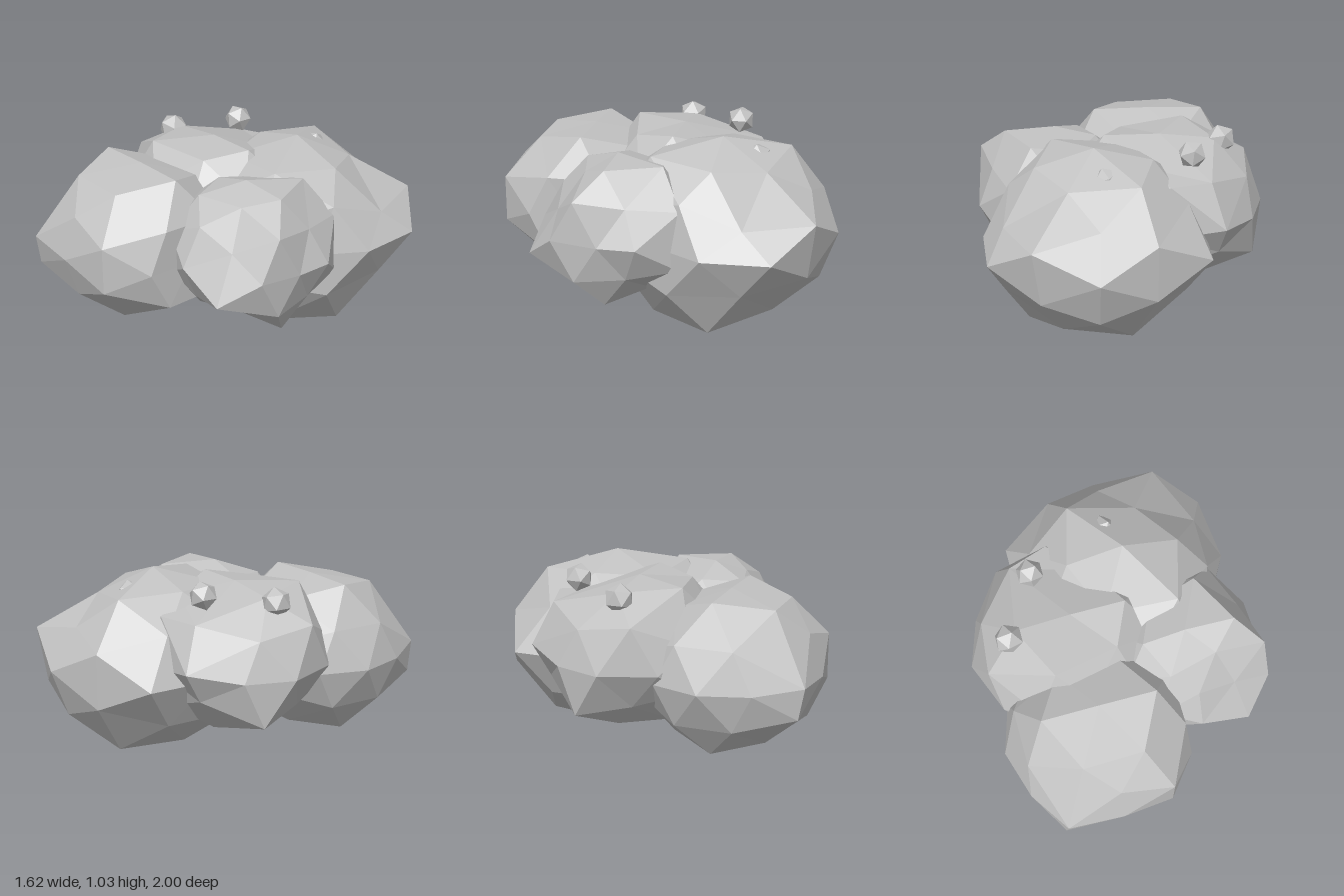
import * as THREE from 'three';

// Faceted boulder: a stretched icosphere whose corners are nudged.
// Each nudge is [direction of the corner, offset].
function boulder(name, material, center, radii, nudges) {
  const geometry = new THREE.IcosahedronGeometry(1, 1);
  const pos = geometry.attributes.position;
  const rules = nudges.map(([dir, offset]) => [
    new THREE.Vector3(...dir).normalize(), new THREE.Vector3(...offset)]);
  const scale = new THREE.Vector3(...radii);
  const dir = new THREE.Vector3();
  const v = new THREE.Vector3();
  for (let i = 0; i < pos.count; i++) {
    dir.fromBufferAttribute(pos, i);
    v.copy(dir).multiply(scale);
    for (const [target, offset] of rules) {
      if (dir.distanceTo(target) < 0.2) v.add(offset);
    }
    pos.setXYZ(i, v.x, v.y, v.z);
  }
  geometry.computeVertexNormals();
  const mesh = new THREE.Mesh(geometry, material);
  mesh.name = name;
  mesh.position.set(...center);
  return mesh;
}

export function createModel() {
  const group = new THREE.Group();
  group.name = 'rockCluster';
  const stone = new THREE.MeshStandardMaterial({ color: 0xc2c2c2, flatShading: true });
  stone.name = 'grey stone';

  // Four large overlapping boulders
  group.add(
    boulder('frontBoulder', stone, [-0.2, 0.5, 0.48], [0.55, 0.44, 0.52], [
      [[-0.5, 0.31, 0.81], [-0.04, -0.11, 0.09]],
      [[-0.5, -0.31, 0.81], [-0.05, -0.01, 0.06]],
      [[0.5, 0.31, 0.81], [0.02, 0.02, 0.05]],
      [[0.5, -0.31, 0.81], [0.02, 0.03, 0.05]],
      [[-0.53, 0.85, 0], [-0.03, 0.06, 0]],
      [[0.53, 0.85, 0], [0.03, 0.06, 0]],
      [[-0.31, 0.81, 0.5], [0, 0.03, 0.04]],
      [[0.31, 0.81, 0.5], [0, 0.02, 0.03]],
      [[-0.53, -0.85, 0], [-0.03, -0.03, 0]],
      [[0.53, -0.85, 0], [0, 0.08, 0]],
      [[0.81, -0.5, 0.31], [0.02, 0, 0]],
      [[1, 0, 0], [-0.1, 0, 0]],
      [[0.85, 0, 0.53], [-0.01, 0, 0]],
    ]),
    boulder('leftSideBoulder', stone, [0.36, 0.545, 0.19], [0.445, 0.395, 0.43], [
      [[0.85, 0, 0.53], [0.06, 0.02, 0.03]],
      [[0.85, 0, -0.53], [0.06, 0, 0.02]],
      [[0.81, 0.5, 0.31], [0.07, 0.04, 0]],
      [[0.81, -0.5, 0.31], [0.07, -0.01, 0]],
      [[0.5, 0.31, 0.81], [0, 0, -0.07]],
      [[0, 0.53, 0.85], [0, 0, -0.05]],
      [[0.31, 0.81, 0.5], [0, 0, -0.07]],
      [[0.5, -0.31, 0.81], [0.06, 0, 0.08]],
      [[0, -0.53, 0.85], [0, 0.02, -0.02]],
      [[0.31, -0.81, 0.5], [0, 0.03, -0.06]],
      [[0.5, 0.31, -0.81], [0.04, 0.05, -0.06]],
      [[0.5, -0.31, -0.81], [0.06, -0.03, -0.06]],
      [[0.31, 0.81, -0.5], [0, 0.055, -0.07]],
      [[0.53, 0.85, 0], [0.05, 0.04, 0]],
      [[0.53, -0.85, 0], [0.07, -0.04, 0]],
    ]),
    boulder('backBoulder', stone, [0.16, 0.505, -0.35], [0.61, 0.505, 0.65], [
      [[0.5, 0.31, -0.81], [0.04, 0, -0.04]],
      [[0.85, 0, -0.53], [0.06, 0, -0.03]],
      [[-0.85, 0, -0.53], [-0.09, 0, -0.03]],
      [[0, 0.53, -0.85], [-0.01, -0.035, 0.06]],
      [[0.31, 0.81, -0.5], [-0.04, -0.045, 0.055]],
      [[-0.31, 0.81, -0.5], [-0.04, 0.005, -0.02]],
      [[0.31, 0.81, 0.5], [0.03, 0.02, 0.03]],
      [[0.81, 0.5, 0.31], [-0.03, 0, -0.06]],
      [[0.81, 0.5, -0.31], [0, -0.11, 0]],
      [[0.53, 0.85, 0], [0, -0.03, 0]],
      [[0.85, 0, 0.53], [-0.06, 0, -0.08]],
      [[0.31, -0.81, 0.5], [0.02, -0.065, 0.02]],
      [[-0.31, -0.81, -0.5], [0, -0.05, -0.01]],
      [[0, -1, 0], [0, 0.05, 0]],
      [[0.53, -0.85, 0], [0.05, -0.075, 0]],
      [[0.81, -0.5, -0.31], [0, 0.03, 0]],
      [[0, -0.53, 0.85], [0, 0, -0.12]],
    ]),
    boulder('rightSideBoulder', stone, [-0.22, 0.555, -0.05], [0.59, 0.415, 0.51], [
      [[0.53, 0.85, 0], [0, 0.06, 0]],
      [[-0.53, 0.85, 0], [0, 0.03, 0]],
      [[-0.31, 0.81, 0.5], [0.02, 0.07, 0.06]],
      [[0.31, 0.81, 0.5], [0.02, 0.04, -0.02]],
      [[-0.31, 0.81, -0.5], [-0.065, -0.055, -0.155]],
      [[0, 0.53, -0.85], [-0.02, 0.07, -0.05]],
      [[-0.5, 0.31, -0.81], [-0.025, -0.085, -0.1]],
      [[-0.81, 0.5, 0.31], [-0.03, 0.05, 0]],
      [[-0.85, 0, 0.53], [0.03, 0, 0.03]],
      [[-0.81, -0.5, 0.31], [0.06, 0, -0.03]],
      [[-0.81, -0.5, -0.31], [-0.05, -0.05, 0]],
      [[1, 0, 0], [-0.08, 0, 0]],
    ]),
  );

  // Small pebbles resting on top
  const pebbles = [
    [-0.572, 0.92, -0.02, 0.085, 0.3],
    [-0.37, 0.96, -0.35, 0.08, 0.1],
    [0.1, 0.89, -0.53, 0.08, 0.2],
  ];
  pebbles.forEach(([x, y, z, r, tilt], i) => {
    const pebble = new THREE.Mesh(new THREE.IcosahedronGeometry(r, 0), stone);
    pebble.name = `pebble${i + 1}`;
    pebble.position.set(x, y, z);
    pebble.rotation.z = tilt;
    group.add(pebble);
  });

  return group;
}
